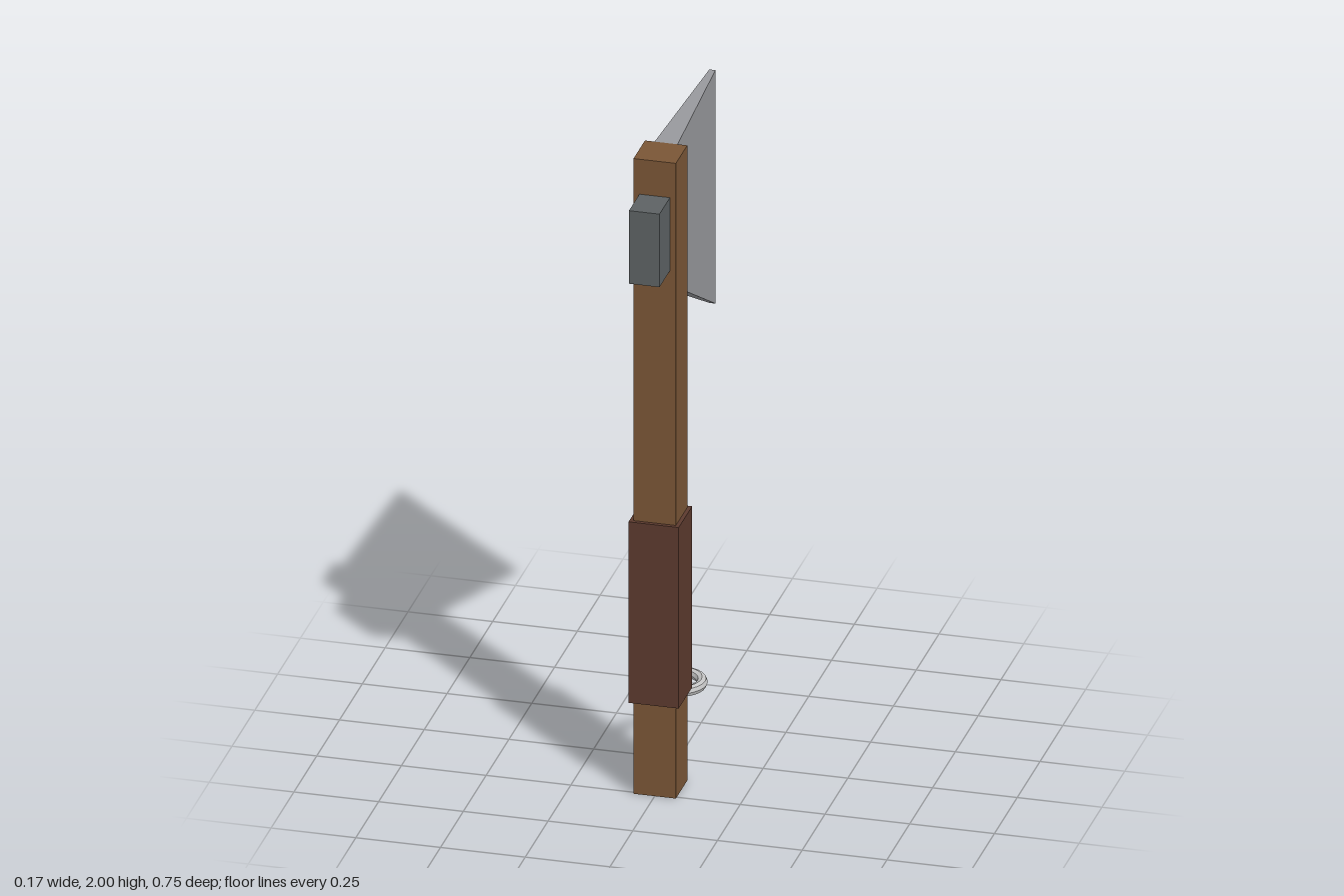
import * as THREE from 'three';

function material(name, color) {
  const m = new THREE.MeshStandardMaterial({ color });
  m.name = name;
  return m;
}

export function createModel() {
  const group = new THREE.Group();
  const wood = material('wood', 0x7a5636);
  const leather = material('leather', 0x5c3a2e);
  const steel = material('steel', 0x98999d);
  const iron = material('dark iron', 0x5d6264);
  const silver = material('ring metal', 0xc4c4c4);

  const add = (name, geometry, mat, x, y, z) => {
    const mesh = new THREE.Mesh(geometry, mat);
    mesh.name = name;
    mesh.position.set(x, y, z);
    group.add(mesh);
    return mesh;
  };

  // Square shaft, wrapped grip and the hammer block opposite the blade
  add('handle', new THREE.BoxGeometry(0.125, 2, 0.125), wood, 0, 1, 0.197);
  add('grip', new THREE.BoxGeometry(0.148, 0.57, 0.148), leather, 0, 0.575, 0.197);
  add('poll', new THREE.BoxGeometry(0.09, 0.23, 0.118), iron, 0, 1.775, 0.315);

  // Blade: a box tapered toward the edge, with its lower corner drawn down
  const blade = new THREE.BoxGeometry(1, 1, 1).toNonIndexed();
  const p = blade.attributes.position;
  for (let i = 0; i < p.count; i++) {
    const edge = p.getZ(i) < 0;
    const bottom = edge ? 1.265 : 1.548;
    p.setXYZ(i,
      Math.sign(p.getX(i)) * (edge ? 0.009 : 0.034),
      p.getY(i) > 0 ? 2 : bottom,
      edge ? -0.373 : 0.135);
  }
  blade.computeVertexNormals();
  add('blade', blade, steel, 0, 0, 0);

  // Faceted lanyard ring lying flat behind the grip
  const ring = new THREE.TorusGeometry(0.068, 0.016, 8, 24).rotateX(Math.PI / 2).toNonIndexed();
  ring.computeVertexNormals();
  add('lanyardRing', ring, silver, 0, 0.243, 0);

  return group;
}
